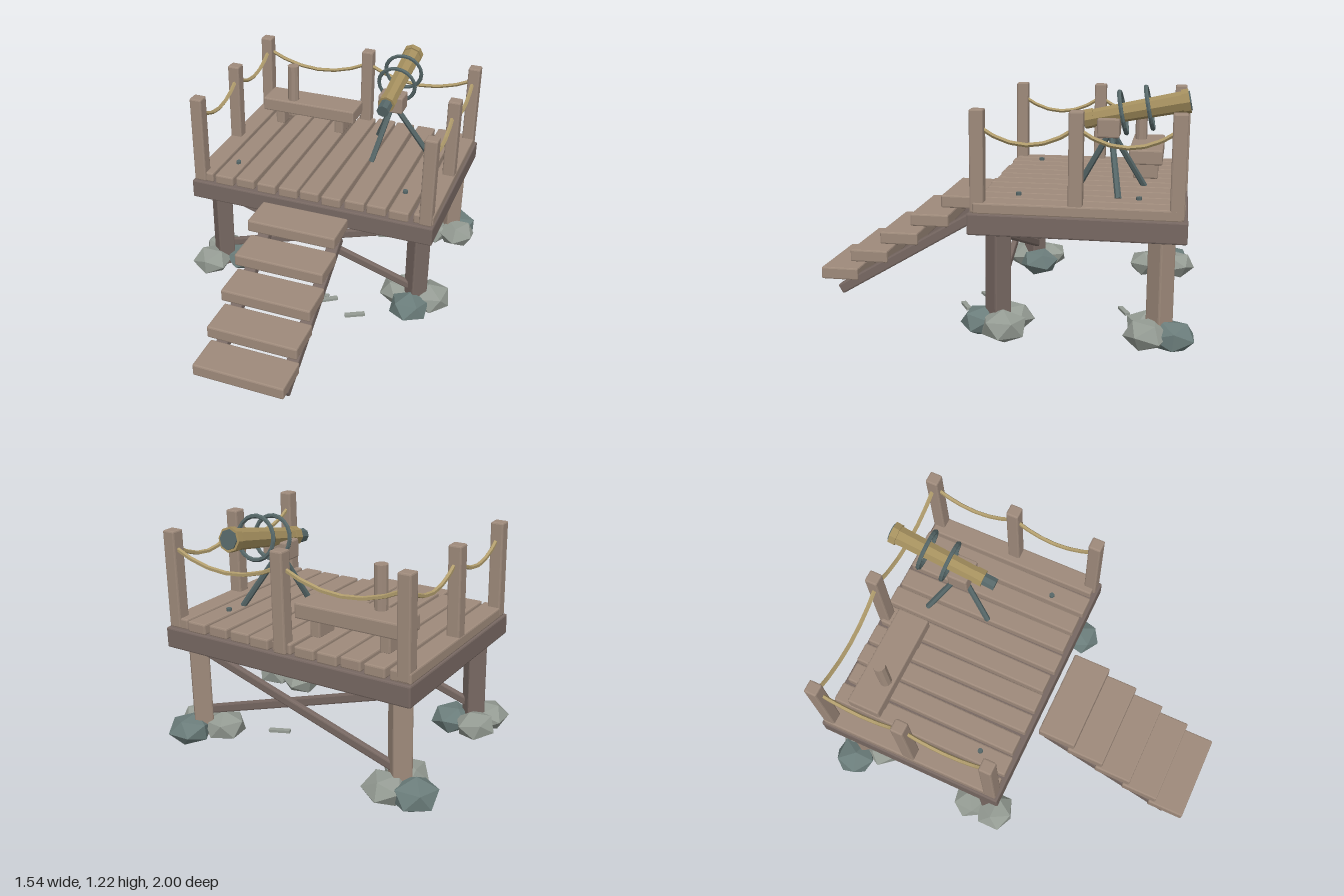
import * as THREE from 'three';
import { RoundedBoxGeometry } from 'three/addons/geometries/RoundedBoxGeometry.js';

const mat = (name, color, flat = true) => {
  const m = new THREE.MeshStandardMaterial({ color, flatShading: flat });
  m.name = name;
  return m;
};

export function createModel() {
  const wood = mat('light wood', 0x9e8a7b);
  const darkWood = mat('dark wood', 0x776862);
  const rope = mat('rope', 0xb09c6c);
  const brass = mat('brass', 0xa48f5e);
  const iron = mat('dark iron', 0x566768);
  const stone = mat('light stone', 0x949b93);
  const darkStone = mat('dark stone', 0x6b7d7b);

  const model = new THREE.Group();
  model.name = 'lookoutPlatform';
  const V = (x, y, z) => new THREE.Vector3(x, y, z);

  const add = (name, geo, material, pos = [0, 0, 0], parent = model) => {
    const m = new THREE.Mesh(geo, material);
    m.name = name;
    m.position.set(...pos);
    parent.add(m);
    return m;
  };
  // softened timber block
  const block = (name, size, pos, material = wood, parent = model) =>
    add(name, new RoundedBoxGeometry(...size, 1, 0.008), material, pos, parent);
  // square beam from a to b
  const beam = (name, a, b, w, h, material) => {
    const m = block(name, [w, h, a.distanceTo(b)], a.clone().add(b).multiplyScalar(0.5).toArray(), material);
    m.lookAt(b);
    return m;
  };
  // round rod from a to b
  const rod = (name, a, b, r0, r1, material) => {
    const m = add(name, new THREE.CylinderGeometry(r1, r0, a.distanceTo(b), 6), material,
      a.clone().add(b).multiplyScalar(0.5).toArray());
    m.quaternion.setFromUnitVectors(V(0, 1, 0), b.clone().sub(a).normalize());
    return m;
  };

  // deck frame and planks
  block('deckFrame', [1.37, 0.105, 1.025], [0.005, 0.587, -0.428], darkWood);
  for (let i = 0; i < 11; i++) {
    const p = block('deckPlank', [0.107, 0.055, 0.985 + 0.012 * Math.sin(i * 2.3)],
      [-0.617 + i * 0.1245, 0.664, -0.43], wood);
    p.rotation.y = 0.007 * Math.sin(i * 1.9 + 1);
  }
  for (const [x, z] of [[0.48, -0.71], [0.48, -0.13], [-0.48, -0.1]])
    add('nailHead', new THREE.CylinderGeometry(0.014, 0.014, 0.016, 8), iron, [x, 0.698, z]);

  // support legs, turned to face the corners
  for (const x of [-0.57, 0.592])
    for (const [z, m] of [[-0.05, darkWood], [-0.825, wood]]) {
      const leg = block('supportLeg', [0.094, 0.5, 0.094], [x, 0.29, z], m);
      leg.rotation.y = Math.PI / 4;
    }

  // crossed braces on the front and back
  for (const z of [-0.05, -0.825])
    for (const s of [-1, 1])
      beam('crossBrace', V(0.01 - s * 0.56, 0.525, z + s * 0.015), V(0.01 + s * 0.56, 0.17, z + s * 0.015),
        0.03, 0.045, darkWood);

  // foundation rocks: x, z, radius, dark flag
  const rocks = [
    [-0.62, 0.02, 0.115, 0], [-0.62, -0.13, 0.11, 0], [-0.47, -0.09, 0.115, 1],
    [0.58, 0.03, 0.115, 1], [0.665, -0.09, 0.12, 0], [0.49, -0.1, 0.115, 0],
    [0.63, -0.89, 0.115, 1], [0.65, -0.77, 0.115, 0], [0.5, -0.77, 0.115, 0],
    [-0.665, -0.86, 0.12, 1], [-0.53, -0.89, 0.115, 0], [-0.55, -0.73, 0.115, 0],
  ];
  rocks.forEach(([x, z, r, dark], i) => {
    const geo = new THREE.IcosahedronGeometry(r, 0);
    geo.rotateX(i * 1.3).rotateY(i * 2.1).scale(1, 0.68, 1);
    add('foundationRock', geo, dark ? darkStone : stone, [x, 0.08 + 0.006 * Math.sin(i * 2), z]);
  });

  // railing posts
  const zs = [0.038, -0.425, -0.89];
  for (const x of [-0.635, 0.645])
    for (const z of zs) block('railPost', [0.067, 0.49, 0.067], [x, 0.885, z]);
  block('railPost', [0.067, 0.49, 0.067], [0.005, 0.885, -0.905]);

  // sagging ropes between posts
  const hang = (a, b) => {
    const path = new THREE.CurvePath();
    const pts = [];
    for (let i = 0; i <= 6; i++) {
      const t = i / 6;
      const p = a.clone().lerp(b, t);
      p.y -= 0.34 * t * (1 - t);
      pts.push(p);
    }
    for (let i = 0; i < 6; i++) path.add(new THREE.LineCurve3(pts[i], pts[i + 1]));
    add('railRope', new THREE.TubeGeometry(path, 24, 0.011, 5), rope);
  };
  const ry = 1.05;
  for (const x of [-0.63, 0.64]) {
    hang(V(x, ry, zs[0]), V(x, ry, zs[1]));
    hang(V(x, ry, zs[1]), V(x, ry, zs[2]));
  }
  hang(V(-0.635, ry, -0.895), V(0.005, ry, -0.9));
  hang(V(0.005, ry, -0.9), V(0.645, ry, -0.895));

  // stairs
  for (const x of [-0.187, 0.2])
    beam('stairStringer', V(x, 0.068, 0.9), V(x, 0.513, 0.15), 0.064, 0.055, darkWood);
  for (let i = 0; i < 5; i++)
    block('stairTread', [0.482, 0.066, 0.206], [0.006, 0.162 + i * 0.1064, 0.897 - i * 0.1692]);

  // bench with an upright round peg
  block('benchSeat', [0.57, 0.078, 0.175], [-0.275, 0.811, -0.718]);
  for (const x of [-0.462, -0.088]) block('benchLeg', [0.055, 0.1, 0.13], [x, 0.735, -0.718]);
  add('benchPeg', new THREE.CylinderGeometry(0.033, 0.033, 0.31, 10), wood, [-0.383, 0.91, -0.677]);

  // telescope tripod and cradle
  const hub = V(0.268, 0.99, -0.555);
  for (const foot of [V(0.205, 0.69, -0.39), V(0.14, 0.69, -0.72), V(0.47, 0.69, -0.61)])
    rod('tripodLeg', foot, hub, 0.016, 0.015, iron);
  block('telescopeCradle', [0.14, 0.095, 0.11], [0.268, 1.007, -0.545]);

  // telescope barrel, pointing up and back
  const scope = new THREE.Group();
  scope.name = 'telescope';
  scope.position.set(0.268, 1.042, -0.43);
  scope.rotation.x = 0.2;
  model.add(scope);
  const section = (name, z0, z1, r0, r1, m) => {
    const g = new THREE.CylinderGeometry(r1, r0, z0 - z1, 8).rotateX(-Math.PI / 2);
    return add(name, g, m, [0, 0, (z0 + z1) / 2], scope);
  };
  section('eyepiece', 0.075, -0.02, 0.035, 0.035, iron);
  section('eyepieceCollar', 0.008, -0.04, 0.048, 0.048, brass);
  section('barrel', -0.02, -0.5, 0.043, 0.053, brass);
  section('objectiveRim', -0.475, -0.51, 0.06, 0.06, brass);
  section('objectiveLens', -0.505, -0.516, 0.048, 0.048, iron);
  for (const z of [-0.185, -0.315])
    add('sightRing', new THREE.TorusGeometry(0.104, 0.011, 6, 20), iron, [0, 0, z], scope);

  // loose chips on the ground
  for (const [x, z, a] of [[0.075, 0.08, 0.1], [0.135, 0.1, 0.6], [0.318, 0.175, 0.5], [0.25, -0.64, 0.4]]) {
    const chip = add('groundChip', new THREE.BoxGeometry(0.11, 0.014, 0.026), stone, [x, 0.052, z]);
    chip.rotation.y = a;
  }
  return model;
}
